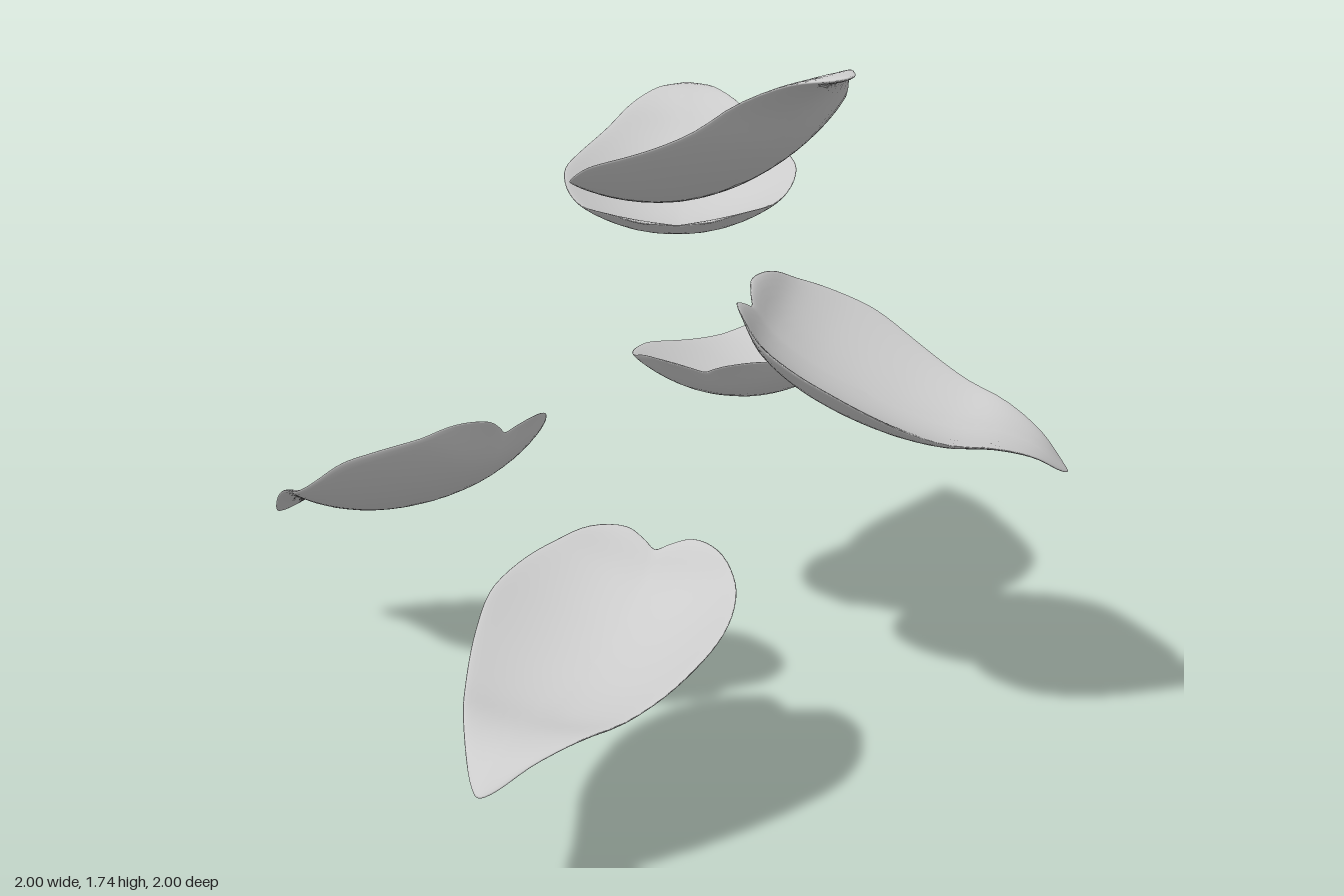
import * as THREE from 'three';

// Heart-shaped outline, one half: [across, along] from the notch to the tip
const HALF = [[0, 0.032], [0.035, 0.016], [0.09, 0], [0.19, 0.045], [0.265, 0.14], [0.3, 0.29],
  [0.273, 0.43], [0.203, 0.6], [0.095, 0.78], [0.025, 0.878], [0, 0.895]];
// Height of the middle line at even steps from base to tip: cupped, then flaring back
const SPINE = [0.025, -0.04, -0.07, -0.08, -0.078, -0.066, -0.04, 0.004, 0.02, 0];
const BASE = 0.04, TIP = 0.895, CENTRE = 0.38, THICK = 0.02, CUP = 1.2;

// Where each petal lies: tip, base, and direction across its width
const PETALS = [
  { tip: [0.36, 1.75, 0.81], base: [0, 1.435, 0.11], across: [0.49, 0.075, -0.28] },
  { tip: [0.16, 1.53, -0.945], base: [0.08, 1.27, -0.13], across: [0.6, 0.02, 0.04] },
  { tip: [0.99, 0.75, 0.28], base: [0.25, 1.11, 0.093], across: [-0.16, -0.08, 0.56] },
  { tip: [0.585, 0.8, -0.995], base: [0.165, 0.855, -0.25], across: [0.52, 0.04, 0.3] },
  { tip: [-1, 0.4, -0.53], base: [-0.36, 0.75, -0.07], across: [-0.17, 0.05, 0.23] },
  { tip: [-0.4, 0.3, 1], base: [0, 0.57, 0.31], across: [0.85, -0.03, 0.53] },
  { tip: [-0.37, 0.01, -0.71], base: [0.06, 0.245, -0.015], across: [-0.25, -0.015, 0.16] },
];

function petalGeometry() {
  const mirrored = HALF.slice(1, -1).reverse().map(([x, z]) => [-x, z]);
  const outline = new THREE.CatmullRomCurve3(
    [...HALF, ...mirrored].map(([x, z]) => new THREE.Vector3(x, 0, z)), true).getPoints(100).slice(0, -1);
  const spine = new THREE.SplineCurve(SPINE.map((n, i) => new THREE.Vector2(i, n)));
  const n = outline.length, rings = 28;
  const positions = [], index = [];
  // Rings run from the middle of the top face, over the rim, to the middle of the underside
  for (let i = 0; i <= rings; i++) {
    const a = (i / rings) * Math.PI;
    const r = Math.sin(a), h = THICK * Math.cos(a);
    for (const p of outline) {
      const x = p.x * r, z = CENTRE + (p.z - CENTRE) * r;
      const t = THREE.MathUtils.clamp(z / 0.9, 0, 1);
      positions.push(x, spine.getPoint(t).y + CUP * x * x + h, z);
    }
  }
  for (let i = 0; i < rings; i++) {
    for (let j = 0; j < n; j++) {
      const k = (j + 1) % n;
      const a = i * n + j, b = i * n + k, c = a + n, d = b + n;
      index.push(a, b, c, b, d, c);
    }
  }
  const g = new THREE.BufferGeometry();
  g.setAttribute('position', new THREE.Float32BufferAttribute(positions, 3));
  g.setIndex(index);
  g.computeVertexNormals();
  return g;
}

export function createModel() {
  const group = new THREE.Group();
  group.name = 'fallingPetals';
  const geometry = petalGeometry();
  const material = new THREE.MeshStandardMaterial({ color: 0xcccccc, side: THREE.DoubleSide });

  PETALS.forEach(({ tip, base, across }, i) => {
    const origin = new THREE.Vector3(...base);
    const along = new THREE.Vector3(...tip).sub(origin);
    const scale = along.length() / (TIP - BASE);
    along.normalize();
    const side = new THREE.Vector3(...across);
    side.addScaledVector(along, -side.dot(along)).normalize();
    const up = new THREE.Vector3().crossVectors(along, side);
    // Keep the hollow face upward
    if (up.y < 0) { up.negate(); side.negate(); }

    const petal = new THREE.Mesh(geometry, material);
    petal.name = `petal${i + 1}`;
    petal.quaternion.setFromRotationMatrix(new THREE.Matrix4().makeBasis(side, up, along));
    petal.scale.setScalar(scale);
    petal.position.copy(origin).addScaledVector(along, -BASE * scale);
    group.add(petal);
  });
  return group;
}
